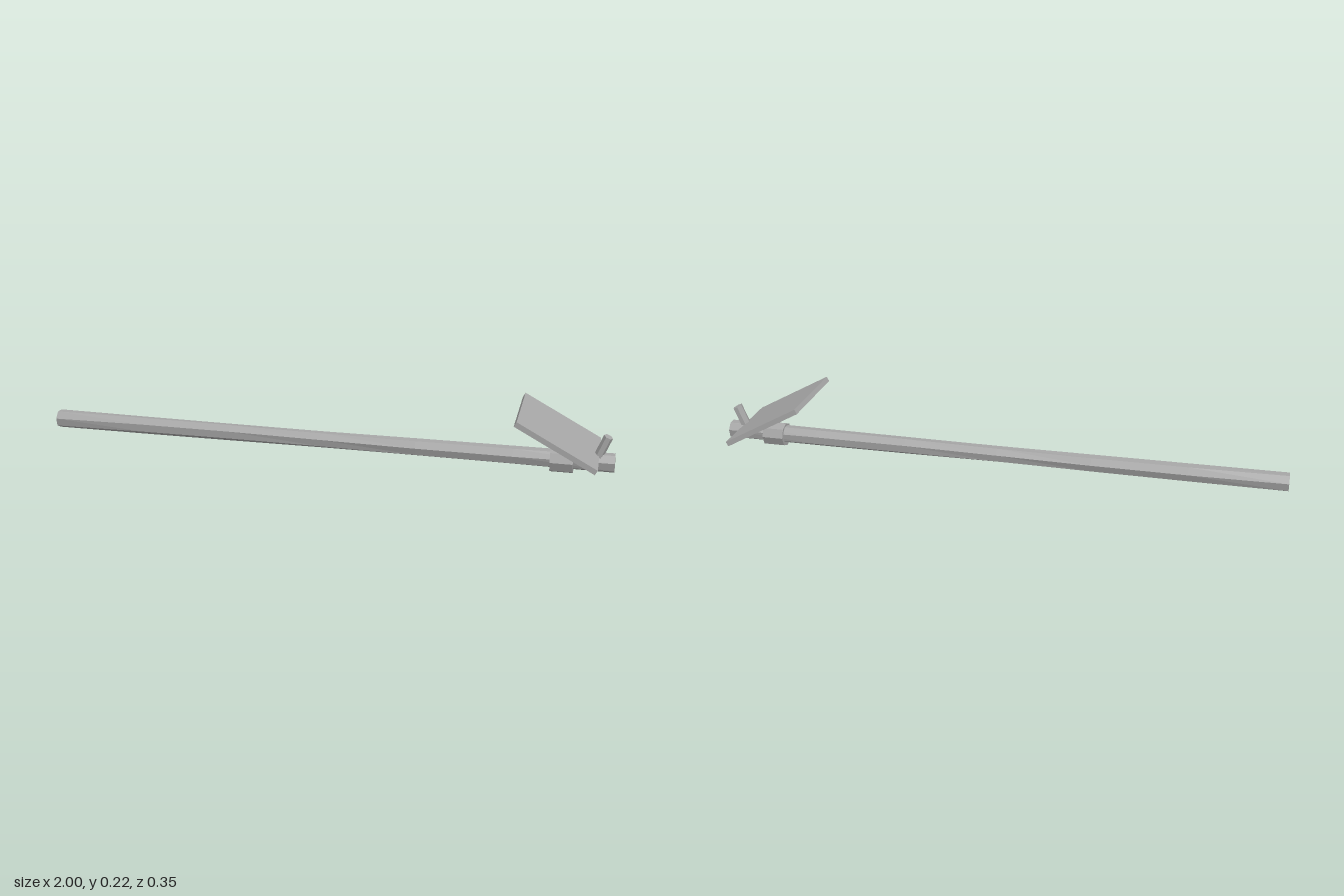
import * as THREE from 'three';

export function createModel() {
  const group = new THREE.Group();
  const grey = new THREE.MeshStandardMaterial({ color: 0xa6a6a6, flatShading: true });

  const add = (name, geometry, x, y, z) => {
    const mesh = new THREE.Mesh(geometry, grey);
    mesh.name = name;
    mesh.position.set(x, y, z);
    group.add(mesh);
    return mesh;
  };

  // Cylinder lying along x, with one corner pointing straight down
  const lyingPrism = (radius, length, sides, rings) =>
    new THREE.CylinderGeometry(radius, radius, length, sides, rings, false, Math.PI / 2).rotateZ(-Math.PI / 2);

  // Long seven-sided pole, slightly slimmer and twisted towards the middle
  const poleGeometry = lyingPrism(0.033, 2, 7, 6);
  const p = poleGeometry.attributes.position;
  for (let i = 0; i < p.count; i++) {
    const bulge = 1 - Math.abs(p.getX(i));
    const scale = 1 - 0.12 * bulge;
    const twist = 0.12 * Math.sin(p.getX(i) * Math.PI);
    const y = p.getY(i) * scale, z = p.getZ(i) * scale;
    p.setY(i, y * Math.cos(twist) - z * Math.sin(twist));
    p.setZ(i, y * Math.sin(twist) + z * Math.cos(twist));
  }
  add('pole', poleGeometry, 0, 0.046, 0.002);

  // Eight-sided collar around the pole
  add('collar', lyingPrism(0.043, 0.076, 8, 1), 0.828, 0.043, 0.003);

  // Flat square blade, tilted down towards the end of the pole
  const blade = add('blade', new THREE.BoxGeometry(0.3, 0.018, 0.343), 0.812, 0.136, -0.003);
  blade.rotation.set(0, 0.03, -0.5, 'ZYX');

  // Short six-sided peg leaning outwards at the end
  const pegGeometry = new THREE.CylinderGeometry(0.023, 0.023, 0.1, 6, 1, false, Math.PI / 6);
  pegGeometry.scale(0.68, 1, 1);
  const peg = add('peg', pegGeometry, 0.955, 0.09, 0.004);
  peg.rotation.z = -0.39;

  return group;
}
